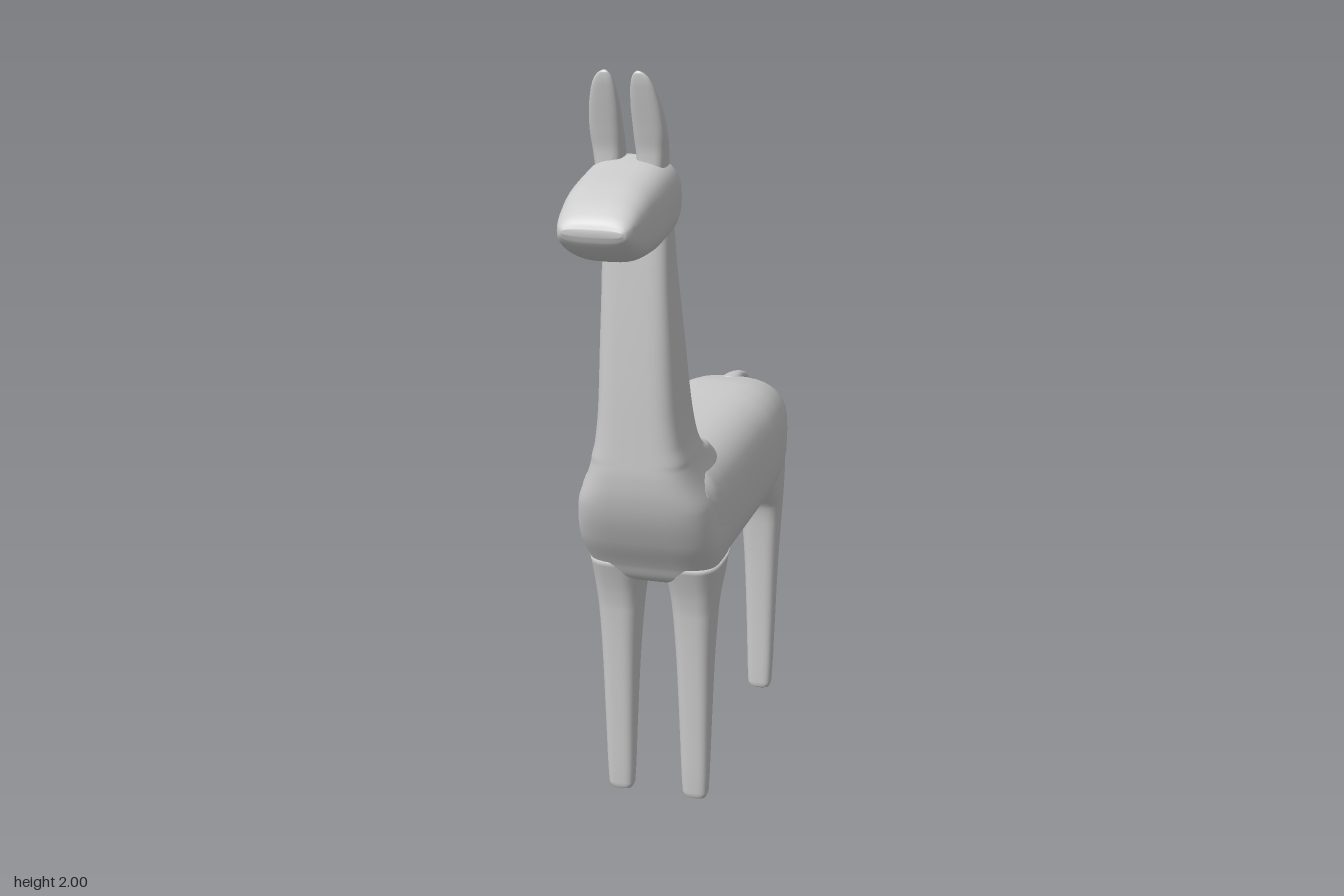
import * as THREE from 'three';

const material = new THREE.MeshStandardMaterial({ color: 0xcccccc });

// Monotone cubic interpolation of one column of the section table
function sample(rows, k, i, t) {
  const slope = j => (rows[j + 1][k] - rows[j][k]) / (rows[j + 1][0] - rows[j][0]);
  const tangent = j => {
    if (j === 0) return slope(0);
    if (j === rows.length - 1) return slope(j - 1);
    const a = slope(j - 1), b = slope(j);
    return a * b <= 0 ? 0 : (2 * a * b) / (a + b);
  };
  const h = rows[i + 1][0] - rows[i][0], t2 = t * t, t3 = t2 * t;
  return (2 * t3 - 3 * t2 + 1) * rows[i][k] + (t3 - 2 * t2 + t) * h * tangent(i)
    + (3 * t2 - 2 * t3) * rows[i + 1][k] + (t3 - t2) * h * tangent(i + 1);
}

// Loft of rounded-square rings along 'y' or 'z'.
// Each section: [position, low, high, x min, x max]; low/high are z (axis y) or y (axis z).
function loft(name, axis, power, rows, steps = 5, segments = 40) {
  const positions = [], index = [];
  const put = (p, q, x) => (axis === 'y' ? positions.push(x, p, q) : positions.push(x, q, p));
  const squash = v => Math.sign(v) * Math.pow(Math.abs(v), 2 / power);
  const rings = [];
  for (let i = 0; i < rows.length - 1; i++) {
    for (let s = 0; s < steps; s++) {
      rings.push([0, 1, 2, 3, 4].map(k => sample(rows, k, i, s / steps)));
    }
  }
  rings.push(rows[rows.length - 1]);
  const turn = axis === 'y' ? -1 : 1;
  for (const [p, lo, hi, x0, x1] of rings) {
    for (let j = 0; j < segments; j++) {
      const a = (j / segments) * Math.PI * 2;
      put(p, (lo + hi) / 2 + turn * squash(Math.sin(a)) * (hi - lo) / 2,
        (x0 + x1) / 2 + squash(Math.cos(a)) * (x1 - x0) / 2);
    }
  }
  for (let i = 0; i < rings.length - 1; i++) {
    for (let j = 0; j < segments; j++) {
      const a = i * segments + j, b = i * segments + (j + 1) % segments;
      index.push(a, b, b + segments, a, b + segments, a + segments);
    }
  }
  // End caps
  const first = rings.length * segments, last = (rings.length - 1) * segments;
  for (const [p, lo, hi, x0, x1] of [rings[0], rings[rings.length - 1]]) put(p, (lo + hi) / 2, (x0 + x1) / 2);
  for (let j = 0; j < segments; j++) {
    const k = (j + 1) % segments;
    index.push(first, k, j, first + 1, last + j, last + k);
  }
  const geometry = new THREE.BufferGeometry();
  geometry.setAttribute('position', new THREE.Float32BufferAttribute(positions, 3));
  geometry.setIndex(index);
  geometry.computeVertexNormals();
  const mesh = new THREE.Mesh(geometry, material);
  mesh.name = name;
  return mesh;
}

// Symmetric sections given as [position, low, high, half width]
const even = rows => rows.map(([p, lo, hi, w]) => [p, lo, hi, -w, w]);
// Mirrored sections for the other side
const mirror = rows => rows.map(([p, lo, hi, x0, x1]) => [p, lo, hi, -x1, -x0]);

export function createModel() {
  const model = new THREE.Group();
  model.name = 'longNeckedAnimal';

  // Barrel of the body with a blunt rump
  model.add(loft('body', 'z', 2.8, even([
    [-0.617, 0.8, 0.86, 0.12], [-0.61, 0.75, 0.91, 0.148], [-0.59, 0.7, 0.95, 0.158],
    [-0.56, 0.66, 0.97, 0.166], [-0.5, 0.635, 0.985, 0.178], [-0.4, 0.63, 0.998, 0.188],
    [-0.3, 0.63, 1, 0.19], [0.2, 0.63, 1, 0.19], [0.28, 0.67, 1, 0.188], [0.34, 0.76, 0.98, 0.17],
  ])));

  // Chest rising into the tapered neck
  model.add(loft('chestAndNeck', 'y', 4, even([
    [0.645, 0.13, 0.28, 0.13], [0.66, 0.1, 0.3, 0.155], [0.7, 0.08, 0.322, 0.175],
    [0.78, 0.08, 0.372, 0.19], [0.88, 0.08, 0.417, 0.18], [0.95, 0.08, 0.433, 0.153],
    [1, 0.12, 0.437, 0.134], [1.02, 0.175, 0.437, 0.128], [1.06, 0.197, 0.437, 0.117],
    [1.15, 0.218, 0.437, 0.106], [1.3, 0.25, 0.435, 0.098], [1.58, 0.318, 0.426, 0.086],
    [1.68, 0.342, 0.42, 0.085],
  ])));

  // Head with a wide, rounded muzzle
  model.add(loft('head', 'z', 3, even([
    [0.335, 1.67, 1.72, 0.075], [0.345, 1.635, 1.745, 0.094], [0.36, 1.605, 1.768, 0.106],
    [0.4, 1.583, 1.79, 0.111], [0.45, 1.577, 1.786, 0.112], [0.52, 1.57, 1.774, 0.112],
    [0.6, 1.572, 1.757, 0.108], [0.66, 1.59, 1.732, 0.1], [0.7, 1.615, 1.705, 0.092],
    [0.72, 1.638, 1.685, 0.082], [0.727, 1.655, 1.67, 0.07],
  ])));

  // Upright ears
  const ear = [
    [1.74, 0.365, 0.46, 0.02, 0.085], [1.8, 0.39, 0.462, 0.016, 0.091], [1.85, 0.415, 0.472, 0.014, 0.094],
    [1.9, 0.44, 0.484, 0.014, 0.09], [1.95, 0.465, 0.496, 0.017, 0.08], [1.98, 0.482, 0.502, 0.023, 0.068],
    [1.994, 0.491, 0.503, 0.03, 0.056], [2, 0.497, 0.5, 0.037, 0.045],
  ];
  model.add(loft('leftEar', 'y', 3, ear, 4, 28), loft('rightEar', 'y', 3, mirror(ear), 4, 28));

  // Legs, flared where they join the body
  const frontLeg = [
    [0, 0.205, 0.234, 0.085, 0.125], [0.005, 0.197, 0.242, 0.075, 0.135], [0.02, 0.194, 0.246, 0.07, 0.14],
    [0.2, 0.183, 0.256, 0.063, 0.146], [0.4, 0.168, 0.266, 0.055, 0.152], [0.55, 0.149, 0.278, 0.045, 0.16],
    [0.6, 0.135, 0.287, 0.04, 0.165], [0.64, 0.105, 0.298, 0.032, 0.17], [0.7, 0.08, 0.318, 0.02, 0.177],
  ];
  const backLeg = [
    [0, -0.522, -0.493, 0.085, 0.125], [0.005, -0.529, -0.486, 0.075, 0.135], [0.02, -0.533, -0.483, 0.07, 0.14],
    [0.2, -0.545, -0.48, 0.063, 0.146], [0.4, -0.556, -0.474, 0.055, 0.152], [0.55, -0.566, -0.464, 0.045, 0.16],
    [0.6, -0.571, -0.455, 0.04, 0.163], [0.64, -0.576, -0.43, 0.032, 0.166], [0.7, -0.59, -0.4, 0.02, 0.168],
    [0.78, -0.6, -0.4, 0.02, 0.165],
  ];
  for (const [name, rows] of [['FrontLeg', frontLeg], ['BackLeg', backLeg]]) {
    model.add(loft('left' + name, 'y', 3, rows, 4, 32), loft('right' + name, 'y', 3, mirror(rows), 4, 32));
  }

  // Short drooping tail
  model.add(loft('tail', 'z', 2.5, even([
    [-0.73, 0.884, 0.886, 0.013], [-0.7, 0.907, 0.925, 0.017], [-0.66, 0.93, 0.957, 0.018],
    [-0.6, 0.943, 0.975, 0.02], [-0.56, 0.93, 0.982, 0.026], [-0.48, 0.92, 0.988, 0.04],
  ]), 4, 20));

  // Small nub under the belly
  model.add(loft('bellyNub', 'z', 2.5, even([
    [-0.47, 0.63, 0.67, 0.025], [-0.43, 0.612, 0.66, 0.03], [-0.4, 0.6, 0.64, 0.026],
    [-0.375, 0.591, 0.612, 0.02], [-0.36, 0.589, 0.595, 0.01],
  ]), 4, 20));

  return model;
}
